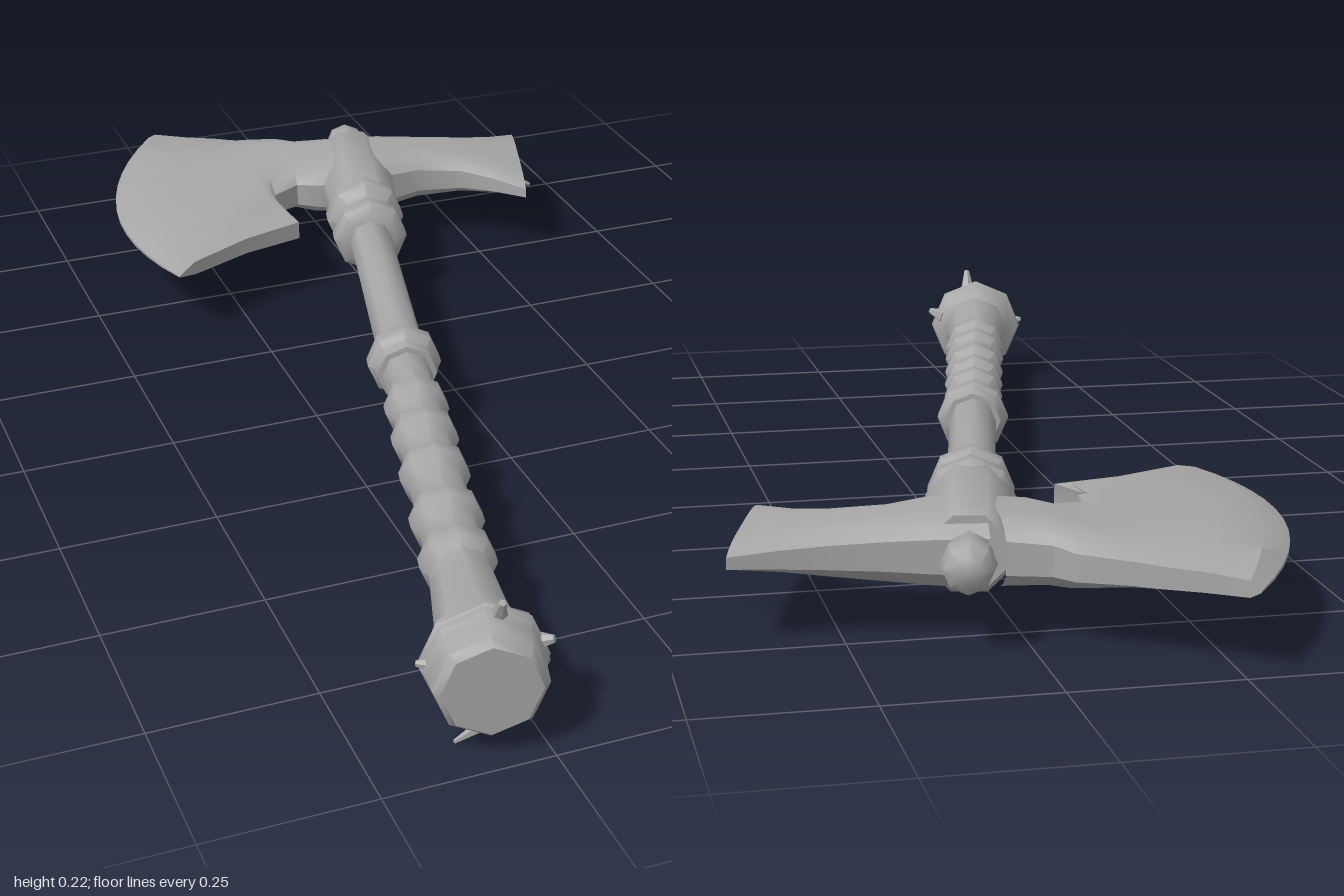
import * as THREE from 'three';
import { toCreasedNormals } from 'three/addons/utils/BufferGeometryUtils.js';

const steel = new THREE.MeshStandardMaterial({ color: 0xa6a6a6 });
steel.name = 'plain grey';

function part(name, geometry, crease = 0.9) {
  const mesh = new THREE.Mesh(toCreasedNormals(geometry, crease), steel);
  mesh.name = name;
  return mesh;
}

// Turned part along the handle: profile is [radius, distance from the butt]
function turned(name, profile, phi = 0) {
  const pts = profile.map(([r, t]) => new THREE.Vector2(r, t));
  return part(name, new THREE.LatheGeometry(pts, 8, phi));
}

// Flat wing of the head. Each row: front x, front z, back x, back z, half thickness, bow.
function wing(name, rows, side) {
  const M = 12, R = 2 * (M + 1), pos = [], index = [];
  const last = rows[rows.length - 1];
  const all = [...rows, [...last.slice(0, 4), 0, last[5]]];
  for (const [fx, fz, bx, bz, half, bow] of all) {
    for (let k = 0; k < R; k++) {
      const upper = k <= M;
      const u = (upper ? k : R - 1 - k) / M, v = 2 * u - 1;
      const h = half * (0.45 + 0.55 * (1 - v ** 4));
      pos.push(fx + (bx - fx) * u + side * bow * (1 - v * v), 0.124 + (upper ? h : -h), fz + (bz - fz) * u);
    }
  }
  for (let i = 0; i < all.length - 1; i++) {
    for (let k = 0; k < R; k++) {
      const a = i * R + k, b = i * R + (k + 1) % R, c = a + R, d = b + R;
      if (side < 0) index.push(a, b, c, b, d, c);
      else index.push(a, c, b, b, c, d);
    }
  }
  const g = new THREE.BufferGeometry();
  g.setAttribute('position', new THREE.Float32BufferAttribute(pos, 3));
  g.setIndex(index);
  g.computeVertexNormals();
  return part(name, g, 0.55);
}

// Small pointed prong between two points
function prong(name, from, to, r) {
  const a = new THREE.Vector3(...from), b = new THREE.Vector3(...to);
  const dir = b.clone().sub(a), len = dir.length();
  const mesh = part(name, new THREE.CylinderGeometry(r * 0.35, r, len, 6));
  mesh.position.copy(a).add(b).multiplyScalar(0.5);
  mesh.quaternion.setFromUnitVectors(new THREE.Vector3(0, 1, 0), dir.normalize());
  return mesh;
}

export function createModel() {
  const model = new THREE.Group();
  model.name = 'battleAxe';

  // Handle frame: local y runs from the butt to the top, local z points up
  const handle = new THREE.Group();
  handle.name = 'handle';
  const along = new THREE.Vector3(0.23, 0.008, -0.973).normalize();
  const across = along.clone().cross(new THREE.Vector3(0, 1, 0)).normalize();
  const up = across.clone().cross(along);
  handle.quaternion.setFromRotationMatrix(new THREE.Matrix4().makeBasis(across, along, up));
  handle.position.set(-0.333, 0.112, 0.975);
  model.add(handle);

  // Butt cap with its collar
  handle.add(turned('buttCap', [
    [0, 0], [0.07, 0], [0.08, 0.012], [0.082, 0.05], [0.088, 0.06],
    [0.088, 0.085], [0.07, 0.095], [0.062, 0.105], [0, 0.105]
  ]));

  // Grip: tapering sections, each swelling into a ring
  const grip = [[0, 0.08], [0.062, 0.09], [0.062, 0.13], [0.056, 0.165], [0.049, 0.25]];
  for (const t of [0.32, 0.43, 0.56, 0.67, 0.77]) {
    const r = 0.057 - (t - 0.32) * 0.012;
    grip.push([r - 0.011, t - 0.035], [r, t - 0.015], [r, t + 0.01], [r - 0.012, t + 0.022]);
  }
  grip.push([0.041, 0.89], [0, 0.89]);
  handle.add(turned('grip', grip));

  handle.add(turned('gripCollar', [
    [0, 0.875], [0.05, 0.88], [0.051, 0.905], [0.061, 0.915], [0.061, 0.94], [0.05, 0.952], [0.048, 0.965], [0, 0.965]
  ]));
  handle.add(turned('shaft', [[0, 0.93], [0.04, 0.93], [0.038, 1.42], [0, 1.42]]));
  handle.add(turned('neckCollar', [
    [0, 1.39], [0.05, 1.395], [0.067, 1.408], [0.067, 1.435], [0.053, 1.45], [0.053, 1.475],
    [0.071, 1.49], [0.071, 1.52], [0.06, 1.535], [0, 1.535]
  ]));
  handle.add(turned('socket', [[0, 1.5], [0.066, 1.5], [0.07, 1.6], [0.068, 1.755], [0.058, 1.775], [0, 1.775]], Math.PI / 8));
  handle.add(turned('topKnob', [[0, 1.75], [0.035, 1.75], [0.034, 1.815], [0.04, 1.83], [0.036, 1.86], [0.02, 1.875], [0, 1.877]]));

  // Thin band around the butt
  const band = part('buttBand', new THREE.TorusGeometry(0.083, 0.008, 6, 8));
  band.rotation.x = Math.PI / 2;
  band.position.y = 0.075;
  handle.add(band);

  // Broad blade with a notch beneath it and a bevelled cutting edge
  model.add(wing('blade', [
    [0.03, -0.593, 0.03, -0.785, 0.055, 0],
    [-0.035, -0.6, -0.03, -0.81, 0.05, 0],
    [-0.074, -0.624, -0.053, -0.847, 0.045, 0],
    [-0.127, -0.598, -0.1, -0.875, 0.04, 0],
    [-0.138, -0.545, -0.125, -0.89, 0.038, 0.01],
    [-0.122, -0.47, -0.15, -0.91, 0.036, 0.04],
    [-0.233, -0.44, -0.205, -0.945, 0.032, 0.07],
    [-0.345, -0.385, -0.255, -0.985, 0.027, 0.065],
    [-0.381, -0.36, -0.265, -1.0, 0.003, 0.09]
  ], -1));

  // Flared back of the head
  model.add(wing('backSpur', [
    [0.05, -0.59, 0.05, -0.775, 0.06, 0],
    [0.11, -0.593, 0.13, -0.757, 0.055, 0],
    [0.164, -0.603, 0.19, -0.743, 0.048, 0],
    [0.243, -0.577, 0.27, -0.732, 0.039, 0],
    [0.29, -0.53, 0.34, -0.728, 0.03, 0],
    [0.333, -0.47, 0.413, -0.73, 0.019, 0]
  ], 1));

  // Small prongs at the butt and under the spur
  model.add(
    prong('upperButtProng', [-0.3, 0.18, 0.91], [-0.304, 0.22, 0.935], 0.015),
    prong('lowerButtProng', [-0.305, 0.035, 0.91], [-0.335, 0.012, 0.918], 0.014),
    prong('lowerButtProngTip', [-0.33, 0.014, 0.917], [-0.368, 0.006, 0.925], 0.009),
    prong('sideButtProng', [-0.25, 0.13, 0.91], [-0.225, 0.14, 0.93], 0.016),
    prong('outerButtProng', [-0.385, 0.12, 0.9], [-0.41, 0.122, 0.89], 0.012),
    prong('spurProng', [0.345, 0.108, -0.6], [0.396, 0.08, -0.6], 0.011)
  );
  return model;
}
